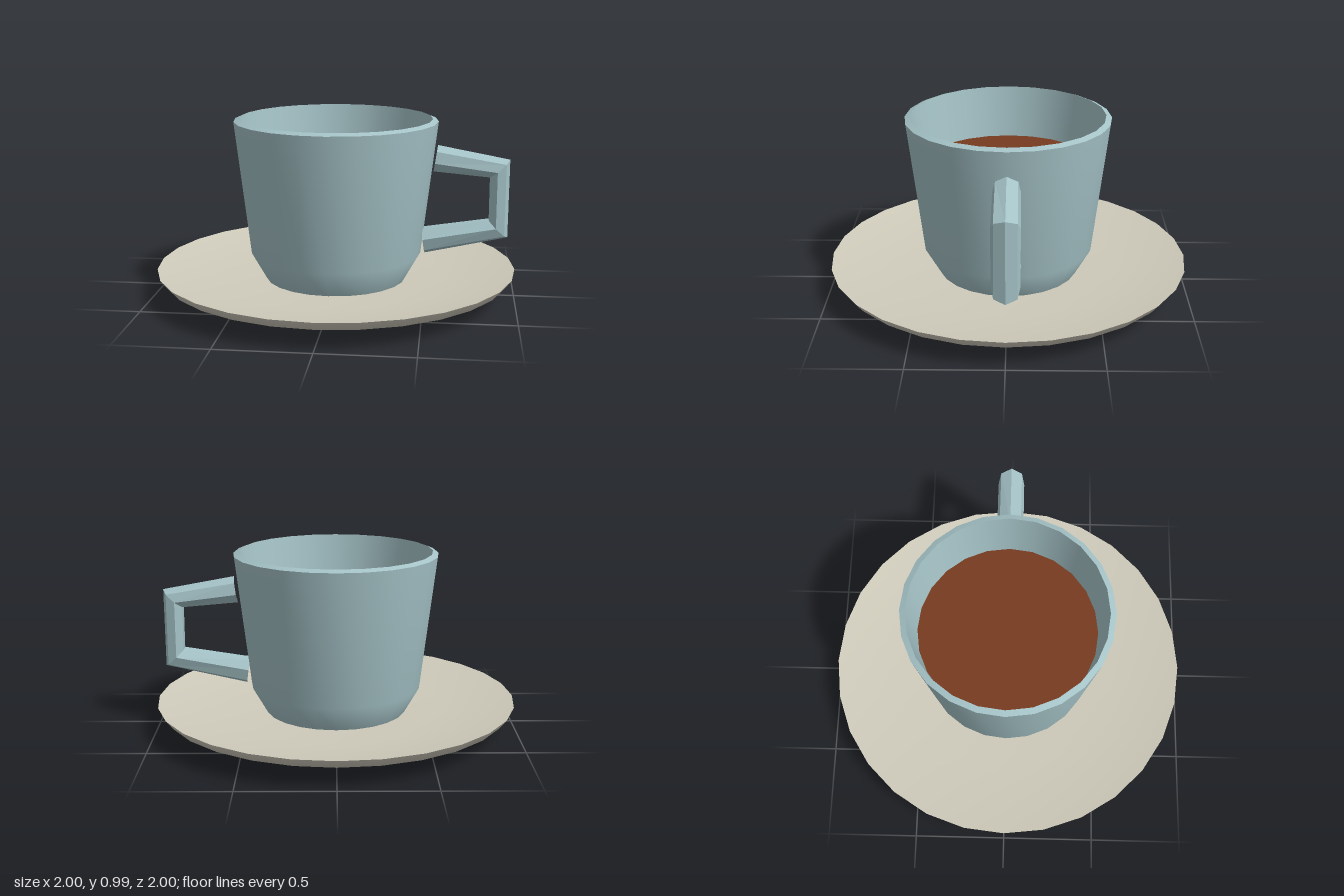
import * as THREE from 'three';

const glaze = new THREE.MeshStandardMaterial({ color: 0xa5c3c7 });
glaze.name = 'paleBlueGlaze';
const stoneware = new THREE.MeshStandardMaterial({ color: 0xcfcbbb });
stoneware.name = 'beigeStoneware';
const coffeeBrown = new THREE.MeshStandardMaterial({ color: 0x763b20 });
coffeeBrown.name = 'coffeeBrown';

// Turned surface from [radius, height] pairs
function turned(name, profile, sides, material) {
  const points = profile.map(([r, y]) => new THREE.Vector2(r, y));
  const mesh = new THREE.Mesh(new THREE.LatheGeometry(points, sides), material);
  mesh.name = name;
  return mesh;
}

// Seven-sided bar swept through four rings, one corner pointing outwards
function handleGeometry() {
  const rings = [ // centre x, centre y, angle of the outward direction
    [0.55, 0.773, 81.5], [0.899, 0.724, 42], [0.899, 0.388, -43], [0.49, 0.31, -82],
  ];
  const sides = 7, radius = 0.075;
  const positions = [], index = [];
  for (const [x, y, degrees] of rings) {
    const a = THREE.MathUtils.degToRad(degrees);
    for (let i = 0; i < sides; i++) {
      const t = (i / sides) * Math.PI * 2;
      const out = radius * Math.cos(t);
      positions.push(x + out * Math.cos(a), y + out * Math.sin(a), radius * Math.sin(t));
    }
  }
  for (let r = 0; r < rings.length - 1; r++) {
    for (let i = 0; i < sides; i++) {
      const a = r * sides + i, b = r * sides + (i + 1) % sides;
      index.push(a, b, a + sides, b, b + sides, a + sides);
    }
  }
  const geometry = new THREE.BufferGeometry();
  geometry.setAttribute('position', new THREE.Float32BufferAttribute(positions, 3));
  geometry.setIndex(index);
  const faceted = geometry.toNonIndexed();
  faceted.computeVertexNormals();
  return faceted;
}

export function createModel() {
  const model = new THREE.Group();
  model.name = 'cupAndSaucer';

  // Saucer: rounded underside and shallow dished top
  const saucer = new THREE.Group();
  saucer.name = 'saucer';
  saucer.add(
    turned('saucerUnderside', [[0, 0], [0.64, 0], [0.962, 0.106], [1, 0.155]], 28, stoneware),
    turned('saucerTop', [[1, 0.155], [0.62, 0.09], [0, 0.085]], 28, stoneware),
  );

  // Cup: outer wall, bevelled rim and inner wall meet at sharp edges
  const cup = new THREE.Group();
  cup.name = 'cup';
  cup.add(
    turned('cupOuterWall', [[0.388, 0.08], [0.475, 0.235], [0.563, 0.977]], 24, glaze),
    turned('cupRim', [[0.563, 0.977], [0.532, 0.99]], 24, glaze),
    turned('cupInnerWall', [[0.532, 0.99], [0.49, 0.70], [0.43, 0.27], [0, 0.25]], 24, glaze),
  );

  // Coffee surface
  const coffee = new THREE.Mesh(new THREE.CircleGeometry(0.49, 24), coffeeBrown);
  coffee.name = 'coffee';
  coffee.rotation.x = -Math.PI / 2;
  coffee.position.y = 0.70;

  const handle = new THREE.Mesh(handleGeometry(), glaze);
  handle.name = 'handle';

  model.add(saucer, cup, coffee, handle);
  return model;
}
